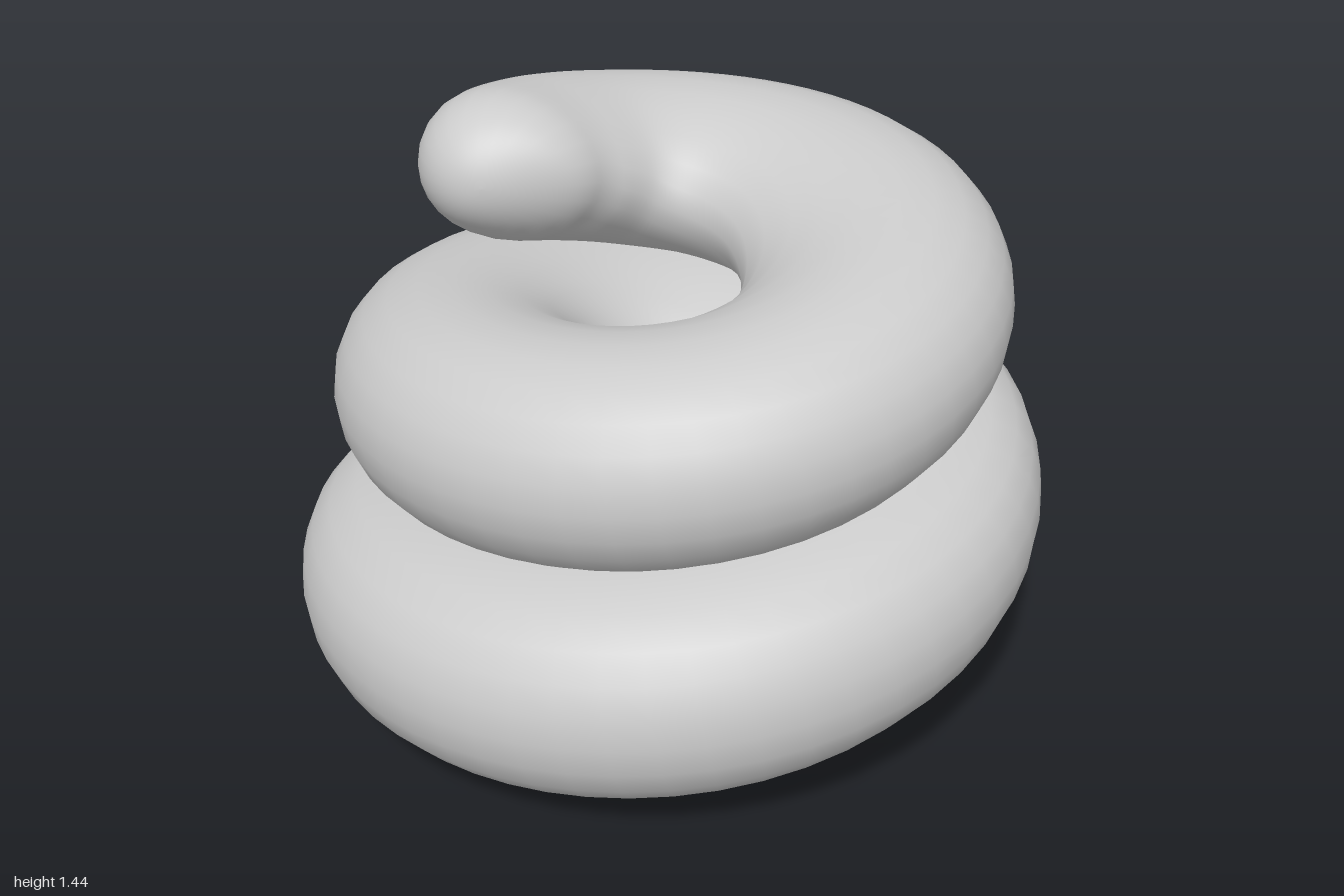
import * as THREE from 'three';

const AXIS_X = -0.08; // the coil winds about this vertical axis
const RINGS = 180, SIDES = 24;

// Stations along the coil: angle (degrees from the back), distance from axis, height, half width, half height
const STATIONS = [
  [-64, 1.20, 0.30, 0.25, 0.195],
  [-56, 0.94, 0.28, 0.28, 0.215],
  [-43, 0.71, 0.262, 0.345, 0.24],
  [-20, 0.545, 0.25, 0.42, 0.25],
  [0, 0.485, 0.25, 0.445, 0.25],
  [90, 0.47, 0.305, 0.45, 0.28],
  [180, 0.48, 0.41, 0.45, 0.28],
  [270, 0.475, 0.57, 0.445, 0.255],
  [360, 0.475, 0.70, 0.375, 0.26],
  [450, 0.485, 0.82, 0.31, 0.26],
  [540, 0.53, 0.935, 0.305, 0.25],
  [630, 0.49, 1.085, 0.32, 0.23],
  [720, 0.46, 1.165, 0.285, 0.21],
  [744, 0.435, 1.21, 0.27, 0.20],
  [767, 0.42, 1.255, 0.235, 0.185],
  [791, 0.425, 1.27, 0.215, 0.175],
];

// Slope of column c at station i, allowing for uneven spacing in angle
function slope(i, c) {
  const a = STATIONS[Math.max(i - 1, 0)], b = STATIONS[i], d = STATIONS[Math.min(i + 1, STATIONS.length - 1)];
  if (a === b || b === d) return (d[c] - a[c]) / (d[0] - a[0]);
  const h0 = b[0] - a[0], h1 = d[0] - b[0];
  return (((b[c] - a[c]) / h0) * h1 + ((d[c] - b[c]) / h1) * h0) / (h0 + h1);
}

// Smooth values [angle, distance, height, half width, half height] at an angle
function sample(deg) {
  let i = 0;
  while (i < STATIONS.length - 2 && STATIONS[i + 1][0] <= deg) i++;
  const p = STATIONS[i], q = STATIONS[i + 1], h = q[0] - p[0], u = (deg - p[0]) / h;
  return p.map((v, c) => v * (1 + 2 * u) * (1 - u) ** 2 + q[c] * u * u * (3 - 2 * u)
    + h * (slope(i, c) * u * (1 - u) ** 2 - slope(i + 1, c) * u * u * (1 - u)));
}

// Rounded end: radius factor at distance d from a tip with cap length c
const roundEnd = (d, c) => (d >= c ? 1 : Math.sqrt(Math.max(0, 1 - ((c - d) / c) ** 2)));

function coilGeometry() {
  // Centre line, sampled more closely towards both ends
  const centres = [], sizes = [], dist = [0];
  const first = STATIONS[0][0], last = STATIONS[STATIONS.length - 1][0];
  for (let i = 0; i <= RINGS; i++) {
    const t = (1 - Math.cos((Math.PI * i) / RINGS)) / 2;
    const [deg, r, y, width, height] = sample(first + (last - first) * t);
    const a = THREE.MathUtils.degToRad(deg);
    centres.push(new THREE.Vector3(AXIS_X - r * Math.sin(a), y, -r * Math.cos(a)));
    sizes.push([width, height]);
    if (i) dist.push(dist[i - 1] + centres[i].distanceTo(centres[i - 1]));
  }

  // Egg-shaped rings, fuller on the outside where the coil is wide
  const positions = [], index = [];
  const up = new THREE.Vector3(0, 1, 0);
  for (let i = 0; i <= RINGS; i++) {
    const tangent = centres[Math.min(i + 1, RINGS)].clone().sub(centres[Math.max(i - 1, 0)]).normalize();
    const out = tangent.clone().cross(up).normalize();
    const lift = out.clone().cross(tangent);
    const k = Math.max(1e-4, roundEnd(dist[i], 0.34) * roundEnd(dist[RINGS] - dist[i], 0.2));
    const [width, height] = sizes[i];
    const egg = 0.35 * (width / height - 1);
    for (let j = 0; j < SIDES; j++) {
      const a = (j / SIDES) * Math.PI * 2;
      const v = centres[i].clone()
        .addScaledVector(out, width * k * (Math.cos(a) + egg * Math.sin(a) ** 2))
        .addScaledVector(lift, height * k * Math.sin(a));
      positions.push(v.x, v.y, v.z);
      if (i < RINGS) {
        const p = i * SIDES + j, q = i * SIDES + ((j + 1) % SIDES);
        index.push(p, p + SIDES, q, q, p + SIDES, q + SIDES);
      }
    }
  }
  const geometry = new THREE.BufferGeometry();
  geometry.setAttribute('position', new THREE.Float32BufferAttribute(positions, 3));
  geometry.setIndex(index);
  geometry.computeVertexNormals();
  return geometry;
}

export function createModel() {
  const group = new THREE.Group();
  group.name = 'coil';
  const body = new THREE.Mesh(coilGeometry(), new THREE.MeshStandardMaterial({ color: 0xcccccc }));
  body.name = 'coiledBody';
  group.add(body);
  // Rest the lowest point on the ground
  group.position.y = -new THREE.Box3().setFromObject(body).min.y;
  return group;
}
